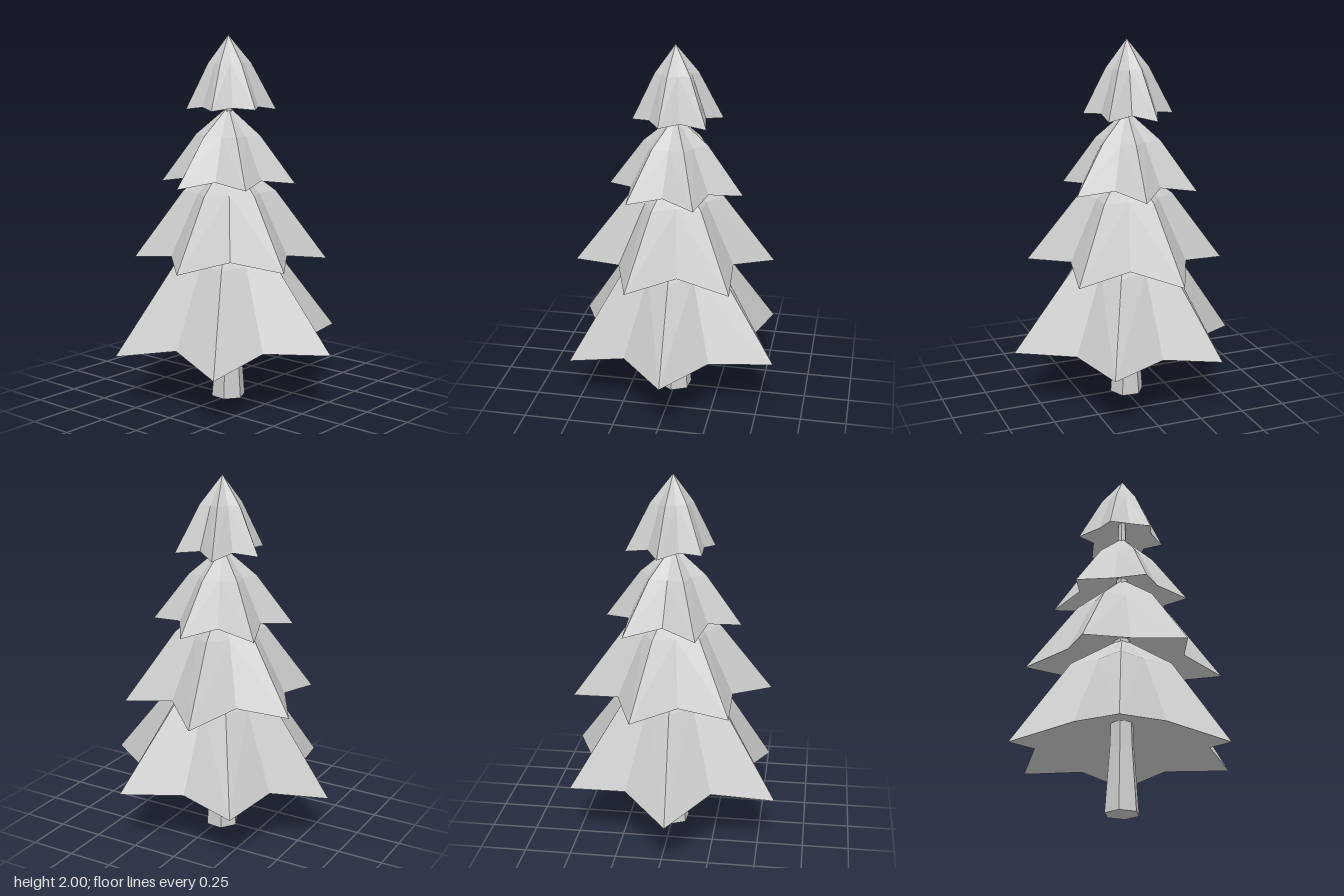
import * as THREE from 'three';

const CX = -0.015; // trunk axis
const rad = THREE.MathUtils.degToRad;

// Each tier is a six-pointed star skirt: turn is the angle of the first tip,
// reach and tipY the radius and height of each tip, notch the radius between
// tips, hollowY the centre of the concave underside.
const TIERS = [
  { name: 'bottomBranches', apexY: 0.99, shoulderY: 0.775, notchY: 0.357, hollowY: 0.51, turn: -3.4, notch: 0.46,
    reach: [0.67, 0.635, 0.66, 0.646, 0.628, 0.66], tipY: [0.34, 0.275, 0.295, 0.28, 0.32, 0.34] },
  { name: 'lowerBranches', apexY: 1.355, shoulderY: 1.16, notchY: 0.83, hollowY: 0.99, turn: 18.4, notch: 0.358,
    reach: [0.547, 0.551, 0.514, 0.522, 0.55, 0.542], tipY: [0.795, 0.79, 0.795, 0.79, 0.775, 0.78] },
  { name: 'upperBranches', apexY: 1.62, shoulderY: 1.465, notchY: 1.235, hollowY: 1.36, turn: 35.5, notch: 0.25,
    reach: [0.362, 0.377, 0.383, 0.39, 0.377, 0.374], tipY: [1.205, 1.2, 1.2, 1.195, 1.2, 1.21] },
  { name: 'topBranches', apexY: 2, shoulderY: 1.85, notchY: 1.62, hollowY: 1.72, turn: 12.3, notch: 0.173,
    reach: [0.235, 0.231, 0.23, 0.251, 0.258, 0.262], tipY: [1.61, 1.605, 1.605, 1.6, 1.595, 1.6] },
];

// Skirt: apex -> shoulder ring -> pointed rim -> concave underside
function tierGeometry({ apexY, shoulderY, notchY, hollowY, turn, notch, reach, tipY }) {
  const top = [CX, apexY, 0];
  const hollow = [CX, hollowY, 0];
  const rim = [];
  const ring = [];
  for (let i = 0; i < 12; i++) {
    const isTip = i % 2 === 0;
    const a = rad(turn + i * 30);
    const r = isTip ? reach[i / 2] : notch;
    const x = r * Math.cos(a);
    const z = r * Math.sin(a);
    const f = isTip ? 0.48 : 0.53;
    rim.push([CX + x, isTip ? tipY[i / 2] : notchY, z]);
    ring.push([CX + x * f, shoulderY, z * f]);
  }
  const pos = [];
  const tri = (...pts) => pts.forEach((p) => pos.push(...p));
  for (let i = 0; i < 12; i++) {
    const j = (i + 1) % 12;
    tri(top, ring[j], ring[i]);
    tri(hollow, rim[i], rim[j]);
    // mirror the diagonal on either side of each tip
    if (i % 2) {
      tri(ring[i], ring[j], rim[j]);
      tri(ring[i], rim[j], rim[i]);
    } else {
      tri(ring[i], ring[j], rim[i]);
      tri(ring[j], rim[j], rim[i]);
    }
  }
  const g = new THREE.BufferGeometry();
  g.setAttribute('position', new THREE.Float32BufferAttribute(pos, 3));
  g.computeVertexNormals();
  return g;
}

export function createModel() {
  const grey = new THREE.MeshStandardMaterial({ color: 0xcccccc, flatShading: true });
  grey.name = 'paleGrey';
  const tree = new THREE.Group();
  tree.name = 'tree';

  for (const tier of TIERS) {
    const mesh = new THREE.Mesh(tierGeometry(tier), grey);
    mesh.name = tier.name;
    tree.add(mesh);
  }

  // Six-sided trunk: flared foot, then a long taper up into the top tier
  const addTrunk = (name, y0, y1, r0, r1) => {
    const g = new THREE.CylinderGeometry(r1, r0, y1 - y0, 6);
    g.rotateY(rad(25));
    g.translate(CX, (y0 + y1) / 2, 0);
    const mesh = new THREE.Mesh(g, grey);
    mesh.name = name;
    tree.add(mesh);
  };
  addTrunk('trunkFoot', 0, 0.36, 0.095, 0.068);
  addTrunk('trunkStem', 0.36, 1.74, 0.068, 0.02);
  return tree;
}
